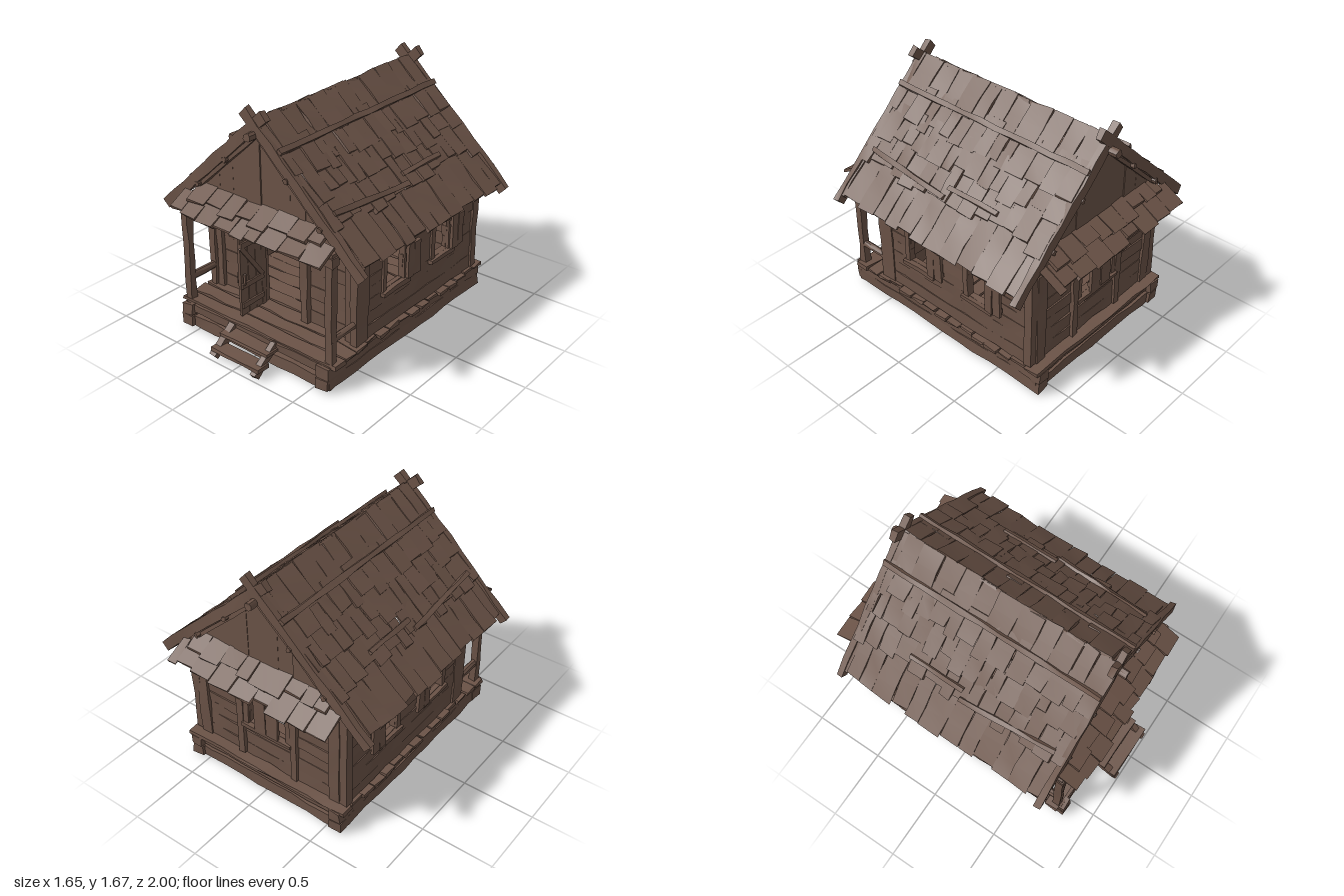
import * as THREE from 'three';
import { toCreasedNormals } from 'three/addons/utils/BufferGeometryUtils.js';

const wood = new THREE.MeshStandardMaterial({ color: 0x6b5347 });
wood.name = 'weathered brown wood';

// Seeded random numbers
let seed = 7;
const rnd = () => {
  seed = (seed * 16807) % 2147483647;
  return seed / 2147483647;
};
const vary = (a) => (rnd() - 0.5) * 2 * a;

// Shifts vertices a little so timber looks hand-hewn; equal positions move equally
function roughen(geo, amp) {
  const p = geo.attributes.position, k = rnd() * 10;
  const hash = (a, b, c, n) => {
    const s = Math.sin(a * 12.9898 + b * 78.233 + c * 37.719 + n * 11.3 + k) * 4375.85;
    return (s - Math.floor(s) - 0.5) * 2 * amp;
  };
  for (let i = 0; i < p.count; i++) {
    const v = [p.getX(i), p.getY(i), p.getZ(i)];
    const [a, b, c] = v.map((t) => Math.round(t * 500) + 0);
    p.setXYZ(i, v[0] + hash(a, b, c, 1), v[1] + hash(a, b, c, 2), v[2] + hash(a, b, c, 3));
  }
  return toCreasedNormals(geo, 0.6);
}

function add(parent, name, geo, x, y, z) {
  const m = new THREE.Mesh(geo, wood);
  m.name = name;
  m.position.set(x, y, z);
  parent.add(m);
  return m;
}

function plank(parent, name, w, h, d, x, y, z, amp = 0.005) {
  const n = (l) => Math.max(1, Math.round(l / 0.14));
  return add(parent, name, roughen(new THREE.BoxGeometry(w, h, d, n(w), n(h), n(d)), amp), x, y, z);
}

function log(parent, name, r, len, axis, x, y, z) {
  const g = new THREE.CylinderGeometry(r, r, len, 8, Math.max(2, Math.round(len / 0.2)));
  g.rotateY(Math.PI / 8);
  if (axis === 'x') g.rotateZ(Math.PI / 2);
  if (axis === 'z') g.rotateX(Math.PI / 2);
  return add(parent, name, roughen(g, 0.004), x, y, z);
}

function group(parent, name, x = 0, y = 0, z = 0) {
  const g = new THREE.Group();
  g.name = name;
  g.position.set(x, y, z);
  parent.add(g);
  return g;
}

// Horizontal boards along local x, split around openings [x0, x1, y0, y1]
function boardWall(parent, name, x0, x1, rows, openings) {
  const g = group(parent, name);
  for (let i = 0; i + 1 < rows.length; i++) {
    const lo = rows[i], hi = rows[i + 1], mid = (lo + hi) / 2;
    const cuts = [x0];
    for (const o of openings) if (mid > o[2] && mid < o[3]) cuts.push(o[0], o[1]);
    cuts.push(x1);
    for (let j = 0; j < cuts.length; j += 2)
      plank(g, 'wallBoard', cuts[j + 1] - cuts[j], hi - lo + 0.002, 0.035,
        (cuts[j] + cuts[j + 1]) / 2, mid, vary(0.005), 0.005);
  }
  return g;
}

// Panel of two upright boards joined by cross battens on the inner face
function shutter(parent, x0, x1, z) {
  const g = group(parent, 'shutter'), w = (x1 - x0) / 2;
  for (const i of [0, 1]) plank(g, 'shutterBoard', w - 0.004, 0.24 + vary(0.01), 0.022, x0 + w * (i + 0.5), 0.6, z, 0.004);
  for (const y of [0.53, 0.67]) plank(g, 'shutterBatten', x1 - x0 - 0.01, 0.03, 0.014, (x0 + x1) / 2, y, z - 0.014, 0.002);
}

function windowFrame(parent, x0, x1) {
  const c = (x0 + x1) / 2, w = x1 - x0;
  plank(parent, 'windowSill', w + 0.1, 0.03, 0.06, c, 0.462, 0.02, 0.004);
  plank(parent, 'windowLintel', w + 0.08, 0.028, 0.05, c, 0.735, 0.015, 0.004);
  for (const x of [x0 - 0.02, x1 + 0.02]) plank(parent, 'windowJamb', 0.04, 0.25, 0.045, x, 0.6, 0.01, 0.004);
}

// A course of ragged shingles: s runs down the slope, z along the eave
function course(parent, s0, s1, half, y, width, tilt, ragged = 0.04) {
  for (let z = -half; z < half - 0.02;) {
    const w = Math.min(width * (0.7 + rnd() * 0.6), half - z), len = s1 - s0 + vary(ragged);
    const m = plank(parent, 'shingle', len, 0.018, w - 0.002, s0 + len / 2, y + vary(0.005), z + w / 2, 0.006);
    m.rotation.z = tilt + vary(0.015);
    m.rotation.y = vary(0.015);
    z += w;
  }
}

export function createModel() {
  const house = new THREE.Group();
  house.name = 'woodenCabin';

  // Squared log foundation
  const base = group(house, 'foundation');
  for (const s of [-1, 1]) {
    plank(base, 'lowerSideLog', 0.09, 0.08, 1.68, s * 0.573, 0.06, -0.015, 0.007);
    plank(base, 'upperSideLog', 0.085, 0.076, 1.68, s * 0.573, 0.139, -0.02, 0.007);
  }
  for (const z of [0.76, -0.79]) {
    plank(base, 'lowerCrossLog', 1.23, 0.075, 0.085, 0, 0.058, z, 0.007);
    plank(base, 'upperCrossBeam', 1.22, 0.06, 0.075, 0, 0.15, z);
  }

  // Floor boards across the house, with gaps
  const floor = group(house, 'floor');
  for (let i = 0; i < 15; i++)
    plank(floor, 'floorBoard', 1.29 + vary(0.025), 0.022, 0.1, 0, 0.185 + vary(0.004), 0.735 - i * 0.11, 0.007);

  // Entrance steps
  const steps = group(house, 'steps');
  for (const x of [-0.18, 0.17]) {
    const m = plank(steps, 'stringer', 0.045, 0.045, 0.24, x, 0.095, 0.885);
    m.rotation.x = 0.66;
  }
  plank(steps, 'lowerTread', 0.41, 0.022, 0.1, 0, 0.07, 0.93);
  plank(steps, 'upperTread', 0.41, 0.022, 0.1, 0, 0.135, 0.845);

  // Posts and top beams
  const frame = group(house, 'frame');
  for (const s of [-1, 1]) {
    plank(frame, 'porchPost', 0.05, 0.68, 0.05, s * 0.595, 0.535, 0.755);
    plank(frame, 'cornerPost', 0.05, 0.72, 0.12, s * 0.597, 0.56, 0.485);
    plank(frame, 'backCornerPost', 0.06, 0.72, 0.06, s * 0.592, 0.56, -0.76);
    plank(frame, 'frontCornerBoard', 0.05, 0.68, 0.03, s * 0.545, 0.54, 0.515);
    plank(frame, 'backCornerBoard', 0.08, 0.68, 0.02, s * 0.53, 0.54, -0.785);
    plank(frame, 'backUpright', 0.05, 0.68, 0.03, s * 0.215, 0.54, -0.785);
    plank(frame, 'doorPost', 0.06, 0.68, 0.04, s * 0.19, 0.54, 0.515);
    log(frame, 'porchRail', 0.025, 0.24, 'z', s * 0.595, 0.35, 0.65);
    plank(frame, 'wallPlate', 0.06, 0.06, 1.56, s * 0.59, 0.91, -0.005);
  }
  for (const z of [0.755, 0.49, -0.76]) plank(frame, 'tieBeam', 1.26, 0.06, 0.06, 0, 0.89, z);
  plank(frame, 'doorLintel', 0.33, 0.045, 0.045, 0, 0.745, 0.515);

  // Walls
  const rows = [0.2, 0.29, 0.39, 0.48, 0.56, 0.64, 0.72, 0.81, 0.9];
  for (const s of [-1, 1]) {
    // local x follows the house length, local z points outward
    const side = group(house, 'sideWall', s * 0.595, 0, 0);
    side.rotation.y = s * Math.PI / 2;
    const spans = [[0.07, 0.25], [-0.43, -0.27]].map(([a, b]) => (s > 0 ? [-b, -a] : [a, b]));
    if (s < 0) spans.reverse();
    const ends = s > 0 ? [-0.48, 0.77] : [-0.77, 0.48];
    boardWall(side, 'sideBoards', ends[0], ends[1], rows, spans.map((o) => [...o, 0.48, 0.72]));
    for (const [a, b] of spans) {
      windowFrame(side, a, b);
      if (s > 0) shutter(side, b + 0.005, b + 0.135, 0.05);
      else shutter(side, a - 0.135, a - 0.005, 0.05);
    }
  }
  const front = group(house, 'frontWall', 0, 0, 0.48);
  boardWall(front, 'frontBoards', -0.58, 0.58, [0.2, 0.29, 0.38, 0.47, 0.57, 0.66, 0.76, 0.9], [[-0.17, 0.17, 0.2, 0.76]]);
  const back = group(house, 'backWall', 0, 0, -0.76);
  back.rotation.y = Math.PI;
  boardWall(back, 'backBoards', -0.58, 0.58, rows, [[-0.15, 0.15, 0.48, 0.72]]);
  windowFrame(back, -0.15, 0.15);
  shutter(back, -0.085, 0.11, 0.045);

  // Open door with diagonal brace, standing straight out from the wall
  const door = group(house, 'door', -0.17, 0.2, 0.52);
  for (let i = 0; i < 3; i++) plank(door, 'doorBoard', 0.018, 0.56, 0.068, 0, 0.285, 0.036 + i * 0.07, 0.003);
  for (const y of [0.08, 0.22, 0.51]) plank(door, 'doorBatten', 0.016, 0.035, 0.2, 0.014, y, 0.107, 0.002);
  const brace = plank(door, 'doorBrace', 0.014, 0.03, 0.33, 0.014, 0.365, 0.107, 0.002);
  brace.rotation.x = -0.95;
  for (const s of [-1, 1]) log(door, 'doorHandle', 0.01, 0.08, 'y', s * 0.025, 0.27, 0.19);

  // Gables of upright boards trimmed to the roof slope
  const roofY = (x) => 1.53 - Math.abs(x) * 0.927;
  for (const z of [0.66, -0.785]) {
    const gable = group(house, 'gable', 0, 0, z);
    for (let i = -5; i < 5; i++) {
      const a = i * 0.115, b = a + 0.115;
      const shape = new THREE.Shape([[a, 0.9], [b, 0.9], [b, roofY(b)], [a, roofY(a)]].map((p) => new THREE.Vector2(...p)));
      add(gable, 'gableBoard', new THREE.ExtrudeGeometry(shape, { depth: 0.025, bevelEnabled: false }), 0, 0, vary(0.005));
    }
  }

  // Small shingled skirt roofs under the gables
  for (const s of [-1, 1]) {
    const skirt = group(house, s > 0 ? 'frontSkirtRoof' : 'backSkirtRoof', 0, 1.015, s > 0 ? 0.665 : -0.755);
    skirt.rotation.y = -s * Math.PI / 2;
    const slope = group(skirt, 'skirtSlope');
    slope.rotation.z = -0.53;
    course(slope, 0.08, 0.255, 0.61, 0, 0.13, 0.03, 0.025);
    course(slope, 0.0, 0.15, 0.53, 0.022, 0.12, 0.03);
  }

  // Main roof: the same slope turned round for the other side
  const roof = group(house, 'roof', 0, 1.6, -0.05);
  const angle = Math.atan(0.927);
  for (const s of [1, -1]) {
    const turn = group(roof, 'roofSide');
    turn.rotation.y = s > 0 ? 0 : Math.PI;
    const slope = group(turn, 'roofSlope');
    slope.rotation.z = -angle;
    course(slope, 0.72, 1.08, 0.77, -0.018, 0.13, 0.02, 0.02);
    course(slope, 0.53, 0.79, 0.77, -0.008, 0.1, 0.04);
    course(slope, 0.36, 0.6, 0.77, -0.005, 0.1, 0.04);
    course(slope, 0.19, 0.44, 0.77, -0.004, 0.11, 0.04);
    course(slope, 0, 0.265, 0.77, -0.007, 0.13, 0.01, 0.01);
    plank(slope, 'upperBatten', 0.035, 0.022, 1.56, 0.25, 0.014, 0);
    const lower = plank(slope, 'lowerBatten', 0.03, 0.02, 0.68, 0.74, 0.014, s * 0.36);
    lower.rotation.y = s * -0.08;
    plank(slope, 'lowerBatten', 0.03, 0.02, 0.4, 0.7, 0.014, s * -0.18);
    for (const x of [0.4, 0.74]) log(slope, 'purlin', 0.018, 1.59, 'z', x, -0.07, 0);
    for (const z of [-0.765, 0.765]) {
      plank(slope, 'bargeBoard', 1.205, 0.07, 0.042, 0.5175, -0.03, z + s * 0.002);
      plank(slope, 'innerRafter', 0.76, 0.025, 0.03, 0.42, -0.08, z * 0.985, 0.003);
    }
  }
  log(roof, 'ridgePole', 0.028, 1.68, 'z', 0, -0.1, 0);

  return house;
}
